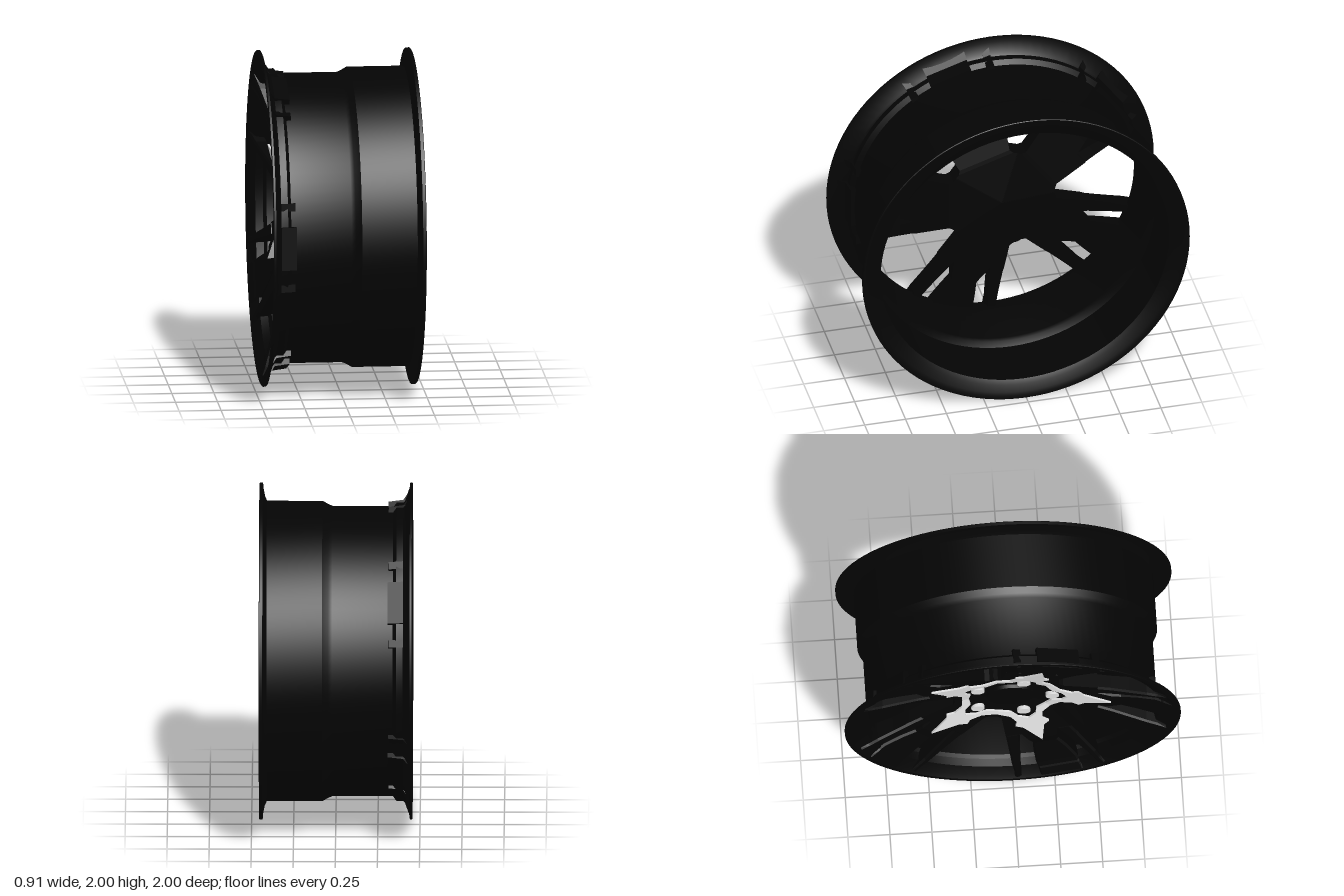
import * as THREE from 'three';
import { toCreasedNormals } from 'three/addons/utils/BufferGeometryUtils.js';

const black = new THREE.MeshStandardMaterial({ color: 0x040404 });
black.name = 'gloss black';
const silver = new THREE.MeshStandardMaterial({ color: 0xe0e0e0 });
silver.name = 'silver';

// piecewise linear curve through [position, value] points
const curve = (pts) => (r) => {
  for (let i = 1; i < pts.length; i++) {
    const [a, va] = pts[i - 1], [b, vb] = pts[i];
    if (r <= b) return va + ((vb - va) * (r - a)) / (b - a);
  }
  return pts[pts.length - 1][1];
};

// dished outer face and back face of the spokes, by radius
const face = curve([[0, -0.265], [0.15, -0.265], [0.59, -0.355], [0.95, -0.452]]);
const back = curve([[0, -0.15], [0.3, -0.19], [0.6, -0.27], [0.8, -0.31], [0.885, -0.31], [0.897, -0.4], [0.95, -0.435]]);

// bar lofted along a spoke from stations [distance, low side, high side, face recess]
function bar(stations, bevel) {
  const loops = stations.map(([r, lo, hi, recess = 0]) => {
    const R = Math.hypot(r, (lo + hi) / 2);
    const f = face(R) + recess, b = Math.max(back(R), f + 0.01);
    const e = Math.min(bevel, (hi - lo) / 3);
    const c = Math.min(bevel, (b - f) / 2);
    return [[f + c, lo], [f, lo + e], [f, hi - e], [f + c, hi], [b, hi], [b, lo]]
      .map(([x, t]) => [x, r, t]);
  });
  const n = 6, index = [], last = (loops.length - 1) * n;
  for (let k = 0; k < loops.length - 1; k++) {
    for (let i = 0; i < n; i++) {
      const a = k * n + i, b = k * n + ((i + 1) % n);
      index.push(a, b, b + n, a, b + n, a + n);
    }
  }
  for (let i = 1; i < n - 1; i++) {
    index.push(0, i + 1, i, last, last + i, last + i + 1);
  }
  const g = new THREE.BufferGeometry();
  g.setAttribute('position', new THREE.Float32BufferAttribute(loops.flat(2), 3));
  g.setIndex(index);
  const flat = g.toNonIndexed();
  flat.computeVertexNormals();
  return flat;
}

function add(parent, geometry, material, name) {
  const mesh = new THREE.Mesh(geometry, material);
  mesh.name = name;
  parent.add(mesh);
  return mesh;
}

// rim barrel: outside profile one way, inside back again, as [radius, x]
function rimGeometry() {
  const profile = [
    [0.97, -0.455], [0.996, -0.455], [1, -0.452], [1, -0.44], [0.97, -0.436], [0.9, -0.41],
    [0.89, -0.4], [0.89, -0.36], [0.862, -0.34], [0.862, 0.02], [0.872, 0.045], [0.892, 0.08],
    [0.892, 0.41], [0.92, 0.422], [0.97, 0.432], [1, 0.434], [1, 0.452], [0.996, 0.455],
    [0.975, 0.455], [0.955, 0.448], [0.91, 0.436], [0.882, 0.42], [0.882, 0.08], [0.862, 0.045],
    [0.854, 0.02], [0.854, -0.34], [0.872, -0.36], [0.882, -0.405], [0.94, -0.435], [0.97, -0.455],
  ].map(([r, x]) => new THREE.Vector2(r, x));
  const g = new THREE.LatheGeometry(profile, 96);
  g.rotateZ(-Math.PI / 2);
  return toCreasedNormals(g, 0.5);
}

// one fifth of the star inlay, with a bay around the nut, laid on the dished face
function starGeometry() {
  const half = [[0.59, 0], [0.43, 0.065], [0.4, 0.105], [0.36, 0.08], [0.29, 0.1],
    [0.235, 0.171], [0.205, 0.149], [0.24, 0.08], [0.3, 0.055], [0.335, 0]];
  const mirrored = half.slice(1, -1).reverse().map(([r, t]) => [r, -t]);
  const shape = new THREE.Shape([...half, ...mirrored].map(([r, t]) => new THREE.Vector2(r, t)));
  const g = new THREE.ExtrudeGeometry(shape, { depth: 0.016, bevelEnabled: false });
  const p = g.attributes.position;
  for (let i = 0; i < p.count; i++) {
    const r = p.getX(i), t = p.getY(i), h = p.getZ(i);
    p.setXYZ(i, face(r) - h + 0.004, r, -t);
  }
  g.computeVertexNormals();
  return g;
}

export function createModel() {
  const model = new THREE.Group();
  model.name = 'wheel';
  const wheel = new THREE.Group();
  wheel.name = 'rimAndSpokes';
  wheel.position.y = 1;
  model.add(wheel);

  add(wheel, rimGeometry(), black, 'rim');

  const hub = bar([[0, -0.002, 0.002], [0.08, -0.06, 0.06], [0.15, -0.111, 0.111], [0.2, -0.147, 0.147],
    [0.271, -0.199, 0.199], [0.285, -0.175, 0.175], [0.31, -0.16, 0.16], [0.4, -0.179, 0.179],
    [0.515, -0.203, 0.203]], 0);
  const centre = bar([[0.51, 0.118, 0], [0.59, 0.097, 0], [0.65, 0.08, 0.015], [0.74, 0.105, 0.02],
    [0.85, 0.128, 0.02], [0.885, 0.13, 0.015], [0.897, 0.13, 0.01], [0.95, 0.135, 0]]
    .map(([r, t, d]) => [r, -t, t, d]), 0.012);
  const thin = [[0.51, 0.115, 0.202], [0.59, 0.14, 0.219], [0.7, 0.176, 0.241], [0.8, 0.21, 0.262],
    [0.851, 0.222, 0.268], [0.863, 0.225, 0.27], [0.913, 0.24, 0.283]];
  const thinLeft = bar(thin, 0.012);
  const thinRight = bar(thin.map(([r, lo, hi]) => [r, -hi, -lo]), 0.012);
  const star = starGeometry();
  const nut = new THREE.CylinderGeometry(0.04, 0.04, 0.024, 16).rotateZ(Math.PI / 2);

  // five identical spoke groups
  for (let k = 0; k < 5; k++) {
    const spoke = new THREE.Group();
    spoke.name = 'spoke' + (k + 1);
    spoke.rotation.x = THREE.MathUtils.degToRad(18 + 72 * k);
    add(spoke, hub, black, 'hubSector');
    add(spoke, centre, black, 'centreSpoke');
    add(spoke, thinLeft, black, 'thinSpokeLeft');
    add(spoke, thinRight, black, 'thinSpokeRight');
    add(spoke, star, silver, 'starInlay');
    add(spoke, nut, silver, 'wheelNut').position.set(face(0.245) - 0.005, 0.245, 0);
    wheel.add(spoke);
  }

  // centre cap
  const cap = new THREE.CylinderGeometry(0.14, 0.15, 0.03, 48).rotateZ(Math.PI / 2);
  add(wheel, cap, black, 'centreCap').position.x = -0.27;
  return model;
}
